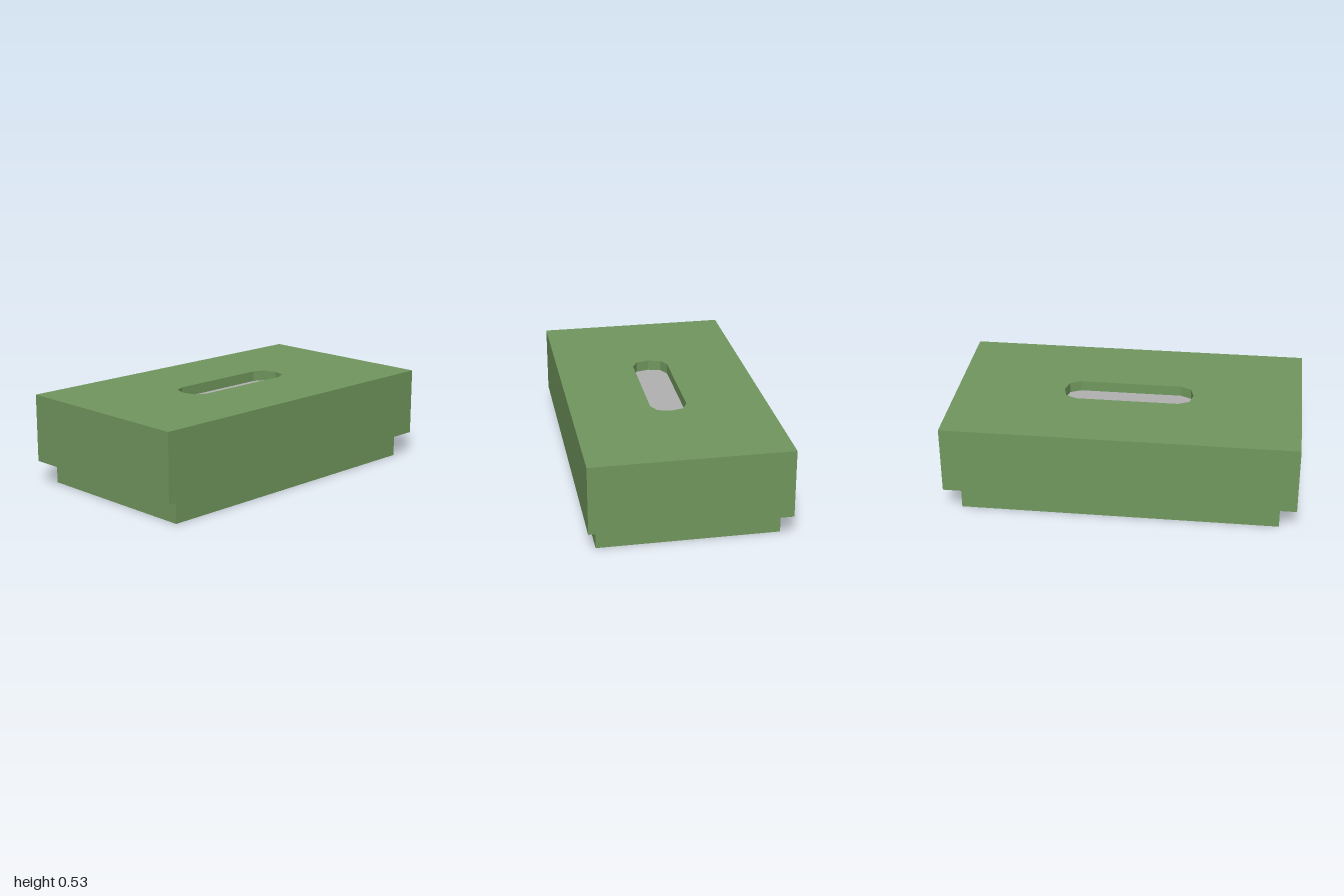
import * as THREE from 'three';

const LID_BOTTOM = 0.138, TOP = 0.528, FLOOR = 0.468;

// Slot outline with faceted round ends
function slotPoints() {
  const end = [[0.295, -0.104], [0.357, -0.074], [0.377, 0], [0.357, 0.074], [0.295, 0.104]];
  return [...end, ...end.map(([x, y]) => [-x, -y])].map(([x, y]) => new THREE.Vector2(x, y));
}

// Extrude a flat outline upwards from height y
function slab(name, shape, y, height, material) {
  const geometry = new THREE.ExtrudeGeometry(shape, { depth: height, bevelEnabled: false });
  geometry.rotateX(-Math.PI / 2);
  const mesh = new THREE.Mesh(geometry, material);
  mesh.name = name;
  mesh.position.y = y;
  return mesh;
}

function rectangle(halfX, halfZ) {
  return new THREE.Shape([[-1, -1], [1, -1], [1, 1], [-1, 1]]
    .map(([x, z]) => new THREE.Vector2(x * halfX, z * halfZ)));
}

export function createModel() {
  const green = new THREE.MeshStandardMaterial({ color: 0x71975e });
  green.name = 'green';
  const grey = new THREE.MeshStandardMaterial({ color: 0xb2b2b2 });
  grey.name = 'grey';

  const group = new THREE.Group();
  group.name = 'tissueBox';

  // Lower tray, set in from the lid
  group.add(slab('base', rectangle(0.907, 0.507), 0, LID_BOTTOM, green));

  // Lid with the slot cut through it
  const lidShape = rectangle(1, 0.556);
  lidShape.holes.push(new THREE.Path(slotPoints()));
  group.add(slab('lid', lidShape, LID_BOTTOM, TOP - LID_BOTTOM, green));

  // Paper seen at the bottom of the slot
  group.add(slab('paper', new THREE.Shape(slotPoints()), FLOOR - 0.008, 0.008, grey));

  return group;
}
